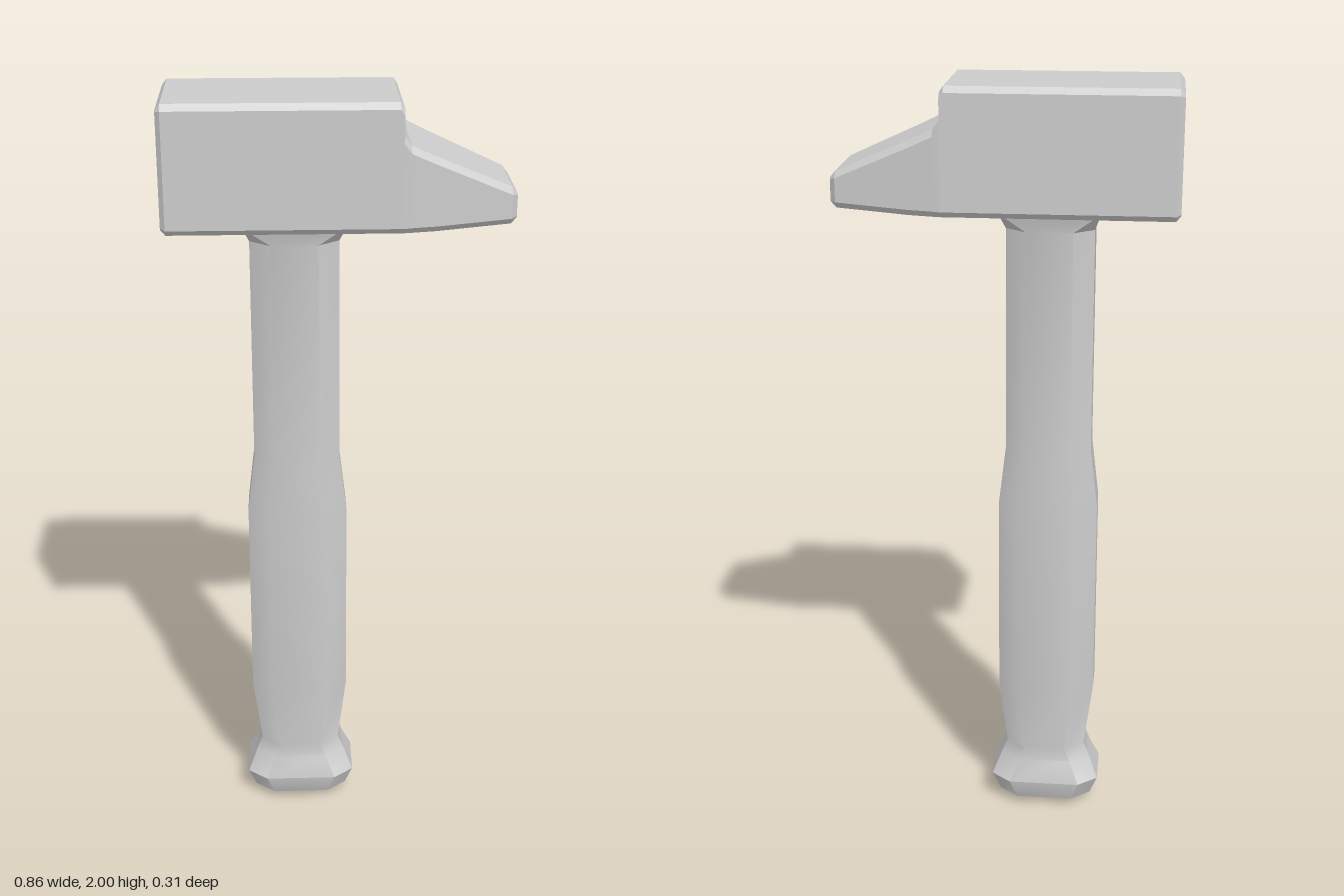
import * as THREE from 'three';
import { toCreasedNormals } from 'three/addons/utils/BufferGeometryUtils.js';

// Skin a list of rings (counter-clockwise about the loft axis) and cap both ends.
function loft(rings) {
  const pos = [];
  const area = new THREE.Triangle();
  const tri = (a, b, c) => {
    area.set(a, b, c);
    if (area.getArea() > 1e-8) for (const p of [a, b, c]) pos.push(p.x, p.y, p.z);
  };
  const n = rings[0].length;
  for (let i = 0; i < rings.length - 1; i++) {
    const r = rings[i], s = rings[i + 1];
    for (let j = 0; j < n; j++) {
      const k = (j + 1) % n;
      tri(r[j], r[k], s[k]);
      tri(r[j], s[k], s[j]);
    }
  }
  const first = rings[0], last = rings[rings.length - 1];
  for (let j = 1; j < n - 1; j++) {
    tri(first[0], first[j + 1], first[j]);
    tri(last[0], last[j], last[j + 1]);
  }
  const g = new THREE.BufferGeometry();
  g.setAttribute('position', new THREE.Float32BufferAttribute(pos, 3));
  g.computeVertexNormals();
  return g;
}

// Chamfered rectangle across the head at x.
function headRing([x, bottom, top, hz, c]) {
  return [
    [top - c, hz], [bottom + c, hz], [bottom, hz - c], [bottom, c - hz],
    [bottom + c, -hz], [top - c, -hz], [top, c - hz], [top, hz - c],
  ].map(([y, z]) => new THREE.Vector3(x, y, z));
}

// Chamfered rectangle across the handle; cut is how much of the corner is taken off.
function handleRing([y, hx, hz, cut = 1]) {
  const ax = hx - 0.052 * cut, bz = hz - 0.042 * cut;
  return [
    [ax, hz], [hx, bz], [hx, -bz], [ax, -hz],
    [-ax, -hz], [-hx, -bz], [-hx, bz], [-ax, hz],
  ].map(([x, z]) => new THREE.Vector3(x - 0.11, y, z));
}

export function createModel() {
  const group = new THREE.Group();
  group.name = 'hammer';

  // Head: square striking block, step, then tapered peen (x, bottom, top, half depth, chamfer)
  const headGeometry = loft([
    [-0.43, 1.7, 1.985, 0.144, 0.004],
    [-0.418, 1.686, 2.0, 0.157, 0.015],
    [0.14, 1.686, 2.0, 0.157, 0.015],
    [0.15, 1.686, 1.986, 0.157, 0.015],
    [0.15, 1.686, 1.92, 0.157, 0.015],
    [0.168, 1.686, 1.897, 0.155, 0.016],
    [0.23, 1.687, 1.868, 0.146, 0.016],
    [0.414, 1.696, 1.787, 0.118, 0.016],
    [0.428, 1.71, 1.77, 0.102, 0.004],
  ].map(headRing));
  const head = new THREE.Mesh(headGeometry,
    new THREE.MeshStandardMaterial({ color: 0xcccccc, flatShading: true }));
  head.name = 'head';
  group.add(head);

  // Handle: flared butt, thicker grip, straight neck, square corners spreading under the head
  // (y, half width, half depth, corner cut)
  const handleGeometry = loft([
    [0, 0.09, 0.052],
    [0.022, 0.127, 0.088],
    [0.08, 0.147, 0.107],
    [0.14, 0.122, 0.084],
    [0.18, 0.107, 0.084],
    [0.36, 0.13, 0.085],
    [0.9, 0.13, 0.085],
    [1.06, 0.111, 0.085],
    [1.64, 0.111, 0.085],
    [1.69, 0.127, 0.1, 0],
  ].map(handleRing));
  const handle = new THREE.Mesh(toCreasedNormals(handleGeometry, 0.69),
    new THREE.MeshStandardMaterial({ color: 0xcccccc }));
  handle.name = 'handle';
  group.add(handle);

  return group;
}
